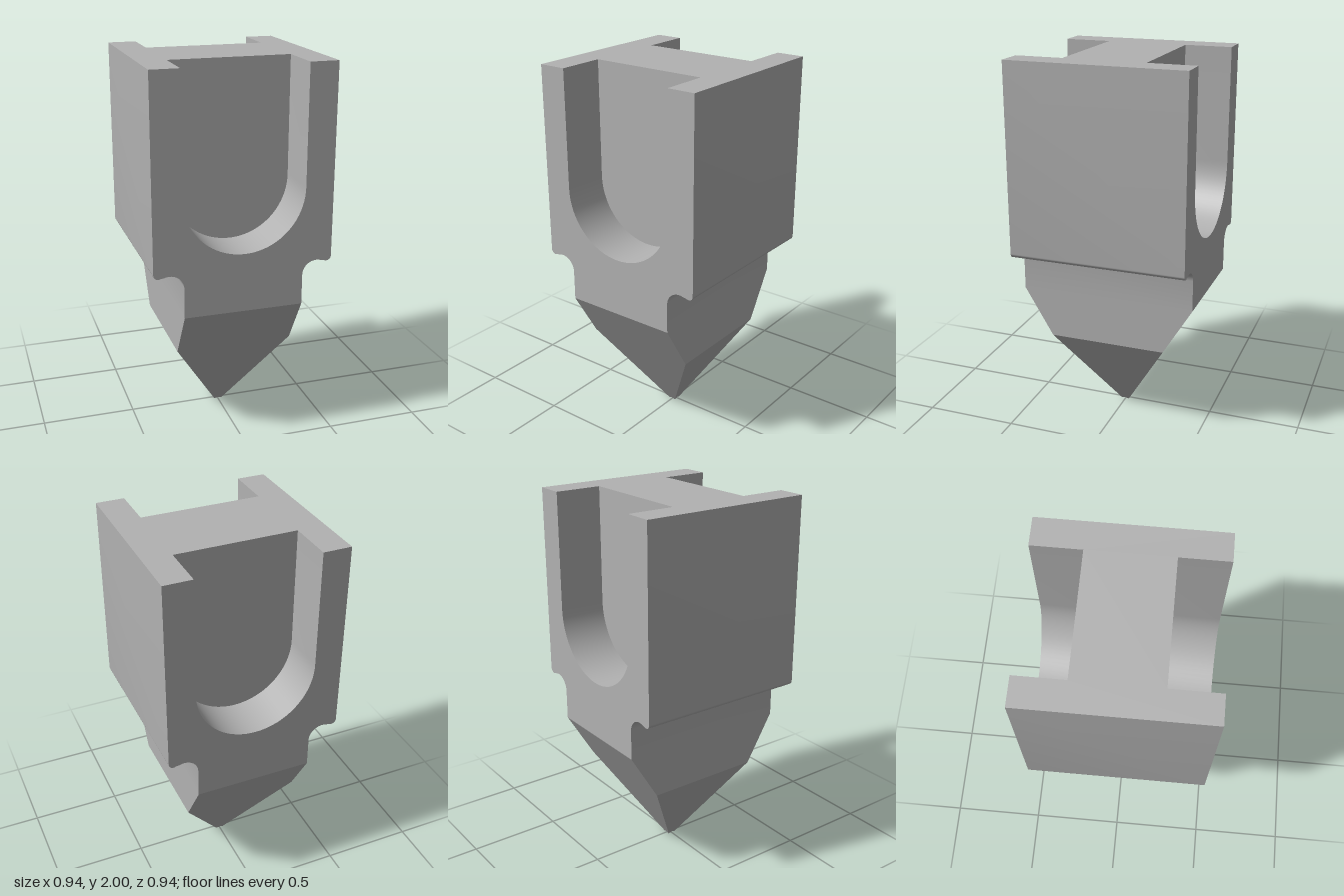
import * as THREE from 'three';
import { toCreasedNormals } from 'three/addons/utils/BufferGeometryUtils.js';

const W = 0.314;      // half width of the neck
const H = 0.47;       // half width of the body
const TOP = 2;
const SHOULDER = 0.75; // where the front and back start to taper
const NECK = 0.49;    // where the sides start to taper
const U = 0.32;       // slot half width and radius
const UY = 1.38;      // slot arc centre
const WEB = 0.217;    // half thickness of the wall between the slots

// Points along an arc, angles in degrees
function arc(cx, cy, r, from, to, n) {
  return Array.from({ length: n + 1 }, (_, i) => {
    const a = THREE.MathUtils.degToRad(from + ((to - from) * i) / n);
    return [cx + r * Math.cos(a), cy + r * Math.sin(a)];
  });
}

// Flat or curved faces from corner loops, each fanned from its first corner
function faces(...loops) {
  const pos = [];
  for (const p of loops) {
    for (let i = 1; i < p.length - 1; i++) pos.push(...p[0], ...p[i], ...p[i + 1]);
  }
  const g = new THREE.BufferGeometry();
  g.setAttribute('position', new THREE.Float32BufferAttribute(pos, 3));
  return toCreasedNormals(g, 0.6);
}

// Wall that follows a path in xy, from z = back to z = front
function ribbon(path, back, front) {
  return faces(...path.slice(1).map(([x1, y1], i) => {
    const [x0, y0] = path[i];
    return [[x0, y0, front], [x1, y1, front], [x1, y1, back], [x0, y0, back]];
  }));
}

const flat = (pts) =>
  new THREE.ShapeGeometry(new THREE.Shape(pts.map(([x, y]) => new THREE.Vector2(x, y))));

export function createModel() {
  const model = new THREE.Group();
  const steel = new THREE.MeshStandardMaterial({ color: 0xb2b2b2 });
  steel.name = 'grey steel';

  // Side profile: straight flank, rounded lip, relief groove, neck
  const side = [
    [H, TOP],
    ...arc(0.445, 1.0, 0.025, 0, -120, 10),
    ...arc(0.389, 0.91, 0.075, 70, 180, 16),
    [W, SHOULDER],
  ];
  const mirrored = side.map(([x, y]) => [-x, y]);
  const slot = [[-U, TOP], ...arc(0, UY, U, 180, 360, 40), [U, TOP]];

  // Everything below appears twice, turned half a circle
  const parts = {
    sideWall: ribbon(side, -H, H),
    bodyFace: flat([...mirrored, ...side.slice().reverse(), ...slot.slice().reverse()]).translate(0, 0, H),
    slotWall: ribbon(slot, WEB, H),
    slotFloor: flat(slot).translate(0, 0, WEB),
    taperFace: faces([
      [0, 0.01, 0.026], [0.02, 0, 0.02], [W, NECK, W], [W, SHOULDER, H],
      [-W, SHOULDER, H], [-W, NECK, W], [-0.02, 0, 0.02],
    ]),
    neckSide: faces([[W, SHOULDER, H], [W, NECK, W], [W, NECK, -W], [W, SHOULDER, -H]]),
    pointSide: faces([
      [0.026, 0.01, 0], [0.02, 0, -0.02], [W, NECK, -W], [W, NECK, W], [0.02, 0, 0.02],
    ]),
    tipDimple: faces([
      [0, 0.015, 0], [0.02, 0, -0.02], [0.026, 0.01, 0], [0.02, 0, 0.02],
      [0, 0.01, 0.026], [-0.02, 0, 0.02],
    ]),
  };
  ['frontHalf', 'backHalf'].forEach((name, i) => {
    const half = new THREE.Group();
    half.name = name;
    half.rotation.y = i * Math.PI;
    for (const [part, geometry] of Object.entries(parts)) {
      const mesh = new THREE.Mesh(geometry, steel);
      mesh.name = part;
      half.add(mesh);
    }
    model.add(half);
  });

  // H-shaped top
  const top = new THREE.Mesh(flat([
    [-H, -H], [-U, -H], [-U, -WEB], [U, -WEB], [U, -H], [H, -H],
    [H, H], [U, H], [U, WEB], [-U, WEB], [-U, H], [-H, H],
  ]).rotateX(-Math.PI / 2).translate(0, TOP, 0), steel);
  top.name = 'topFace';
  model.add(top);

  return model;
}
